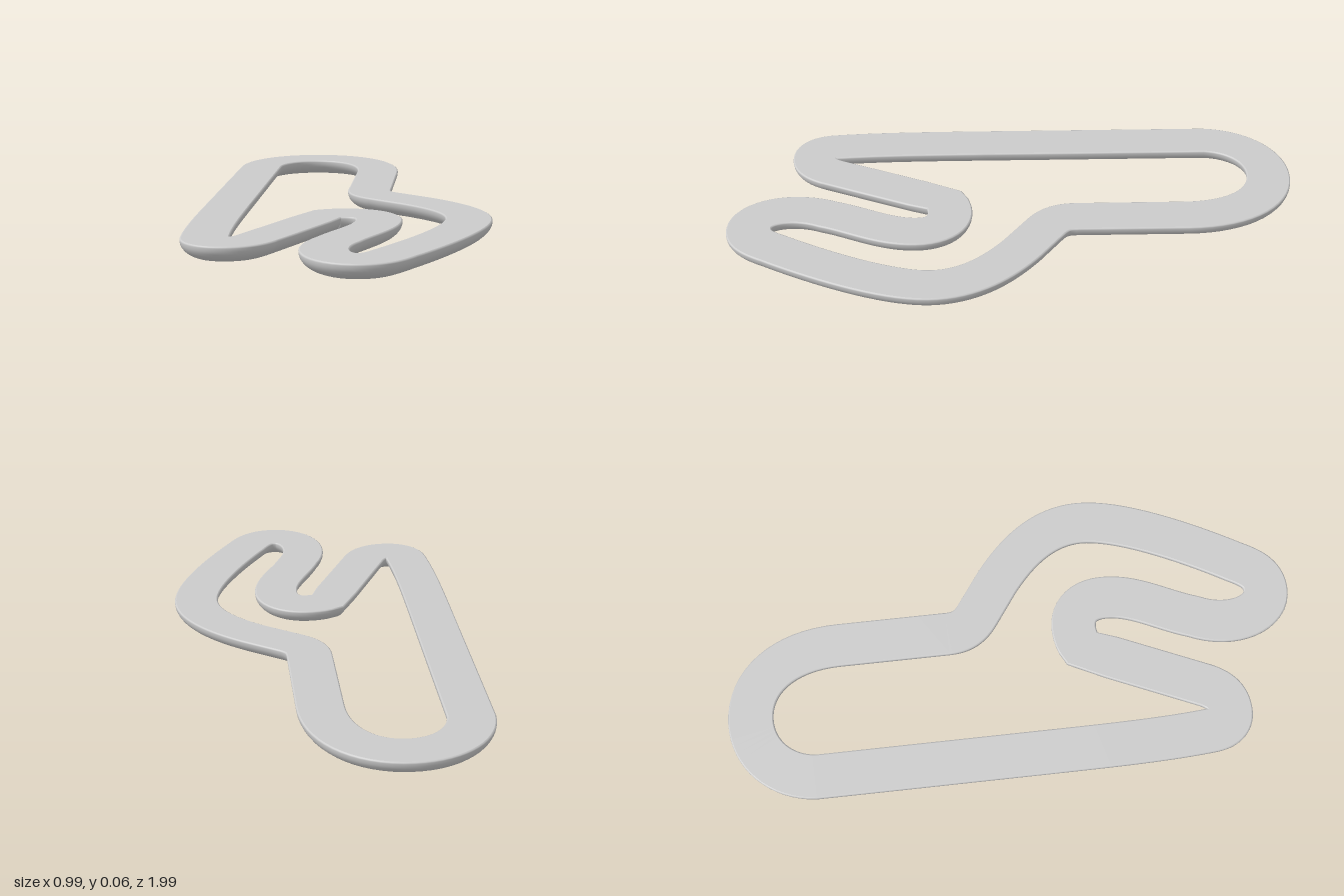
import * as THREE from 'three';

const HALF = 0.078;   // half width of the band
const TOP = 0.06;     // height of the flat top
const RIM = 0.054;    // where the rounded underside meets the rim

// Closed centreline of the circuit, drawn in (x, z)
function centreline() {
  const p = new THREE.Path();
  p.moveTo(-0.42, -0.71);
  p.lineTo(-0.42, 0.1);                                        // long left straight
  p.bezierCurveTo(-0.42, 0.3, -0.42, 0.5, -0.405, 0.65);
  p.bezierCurveTo(-0.4, 0.7, -0.375, 0.72, -0.34, 0.72);       // front left hairpin
  p.bezierCurveTo(-0.295, 0.72, -0.265, 0.7, -0.24, 0.645);
  p.lineTo(-0.06, 0.24);                                       // inner straight to the sharp corner
  p.bezierCurveTo(0.03, 0.2, 0.12, 0.23, 0.12, 0.34);          // inner hairpin
  p.bezierCurveTo(0.12, 0.45, 0.05, 0.54, 0.015, 0.645);
  p.bezierCurveTo(-0.05, 0.78, 0, 0.915, 0.09, 0.915);         // front right hairpin
  p.bezierCurveTo(0.15, 0.915, 0.175, 0.875, 0.205, 0.82);
  p.bezierCurveTo(0.3, 0.66, 0.415, 0.43, 0.415, 0.29);        // wide right bend
  p.bezierCurveTo(0.415, 0.16, 0.33, 0.06, 0.22, -0.025);
  p.lineTo(0.1, -0.11);
  p.bezierCurveTo(0.06, -0.14, 0.045, -0.17, 0.045, -0.22);    // kink into the back straight
  p.lineTo(0.045, -0.6);
  p.bezierCurveTo(0.045, -0.8, -0.06, -0.92, -0.2, -0.92);     // back loop
  p.bezierCurveTo(-0.32, -0.92, -0.41, -0.83, -0.42, -0.71);
  return p.curves.flatMap((c) => c.getPoints(c.isLineCurve ? 4 : 16).slice(0, -1));
}

// Rounded underside from the right rim to the left rim, as [offset, y]
function undersideSection() {
  const pts = [[-HALF + 0.005, TOP], [-HALF + 0.001, TOP - 0.002]];
  const n = 16;
  for (let k = 0; k <= n; k++) {
    const a = (Math.PI * k) / n;
    pts.push([-HALF * Math.cos(a), RIM * (1 - Math.sin(a))]);
  }
  pts.push([HALF - 0.001, TOP - 0.002], [HALF - 0.005, TOP]);
  return pts;
}

// Sweep an open section around the closed path
function sweep(path, section) {
  const n = path.length, m = section.length;
  const pos = [], index = [];
  path.forEach((p, i) => {
    const before = p.clone().sub(path[(i + n - 1) % n]).normalize();
    const after = path[(i + 1) % n].clone().sub(p).normalize();
    const t = before.add(after).normalize();
    for (const [o, y] of section) pos.push(p.x - t.y * o, y, p.y + t.x * o);
    for (let j = 0; j < m - 1; j++) {
      const a = i * m + j, b = ((i + 1) % n) * m + j;
      index.push(a, b, a + 1, b, b + 1, a + 1);
    }
  });
  const g = new THREE.BufferGeometry();
  g.setAttribute('position', new THREE.Float32BufferAttribute(pos, 3));
  g.setIndex(index);
  g.computeVertexNormals();
  return g;
}

export function createModel() {
  const group = new THREE.Group();
  group.name = 'circuitTrack';
  const material = new THREE.MeshStandardMaterial({ color: 0xcccccc });
  const path = centreline();
  const add = (name, section) => {
    const mesh = new THREE.Mesh(sweep(path, section), material);
    mesh.name = name;
    group.add(mesh);
  };
  add('roadSurface', [[HALF - 0.005, TOP], [-HALF + 0.005, TOP]]);
  add('roundedUnderside', undersideSection());
  return group;
}
